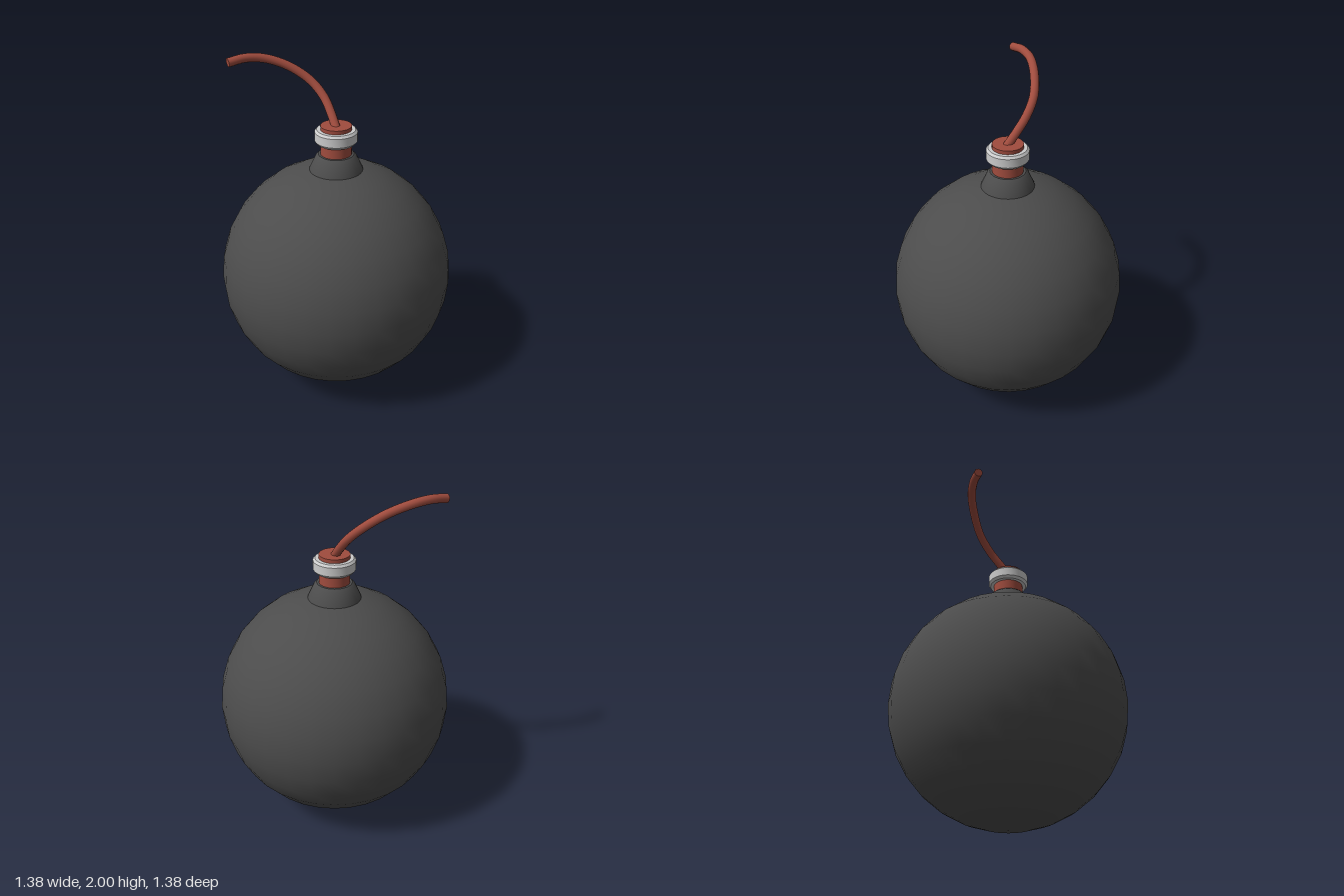
import * as THREE from 'three';
import { toCreasedNormals } from 'three/addons/utils/BufferGeometryUtils.js';

const iron = new THREE.MeshStandardMaterial({ color: 0x4c4c4c });
const red = new THREE.MeshStandardMaterial({ color: 0xa04c3e });
const steel = new THREE.MeshStandardMaterial({ color: 0xcccccc });

function part(name, geometry, material) {
  const mesh = new THREE.Mesh(geometry, material);
  mesh.name = name;
  return mesh;
}

// Turned part from [radius, height] pairs listed from bottom to top
function turned(profile) {
  const points = profile.map(([r, y]) => new THREE.Vector2(r, y));
  return toCreasedNormals(new THREE.LatheGeometry(points, 32), 0.5);
}

export function createModel() {
  const model = new THREE.Group();
  model.name = 'roundBomb';

  // Round iron shell
  const body = part('body', new THREE.SphereGeometry(0.692, 32, 16), iron);
  body.position.y = 0.694;
  model.add(body);

  // Tapered neck rising out of the shell
  model.add(part('neck', turned([
    [0.16, 1.345], [0.152, 1.375], [0.118, 1.448], [0.102, 1.462], [0, 1.462],
  ]), iron));

  // Plug holding the fuse
  model.add(part('plug', turned([[0.089, 1.44], [0.089, 1.632], [0, 1.632]]), red));

  // Bevelled collar around the plug
  model.add(part('collar', turned([
    [0.085, 1.53], [0.11, 1.53], [0.122, 1.545], [0.122, 1.597], [0.11, 1.61], [0.085, 1.61],
  ]), steel));

  // Curved fuse, sweeping back and to the side
  const path = new THREE.CatmullRomCurve3([
    [-0.005, 1.61, 0.01], [0.013, 1.69, -0.06], [0.02, 1.76, -0.125], [-0.005, 1.84, -0.21],
    [-0.085, 1.918, -0.303], [-0.19, 1.965, -0.382], [-0.29, 1.977, -0.425], [-0.39, 1.965, -0.45],
  ].map((p) => new THREE.Vector3(...p)));
  const fuse = new THREE.Group();
  fuse.name = 'fuse';
  fuse.add(part('cord', new THREE.TubeGeometry(path, 40, 0.025, 12), red));

  // Flat cap on the free end of the cord
  const tip = part('cordTip', new THREE.CircleGeometry(0.025, 12), red);
  tip.position.copy(path.getPoint(1));
  tip.lookAt(path.getPoint(1).add(path.getTangent(1)));
  fuse.add(tip);
  model.add(fuse);

  return model;
}
